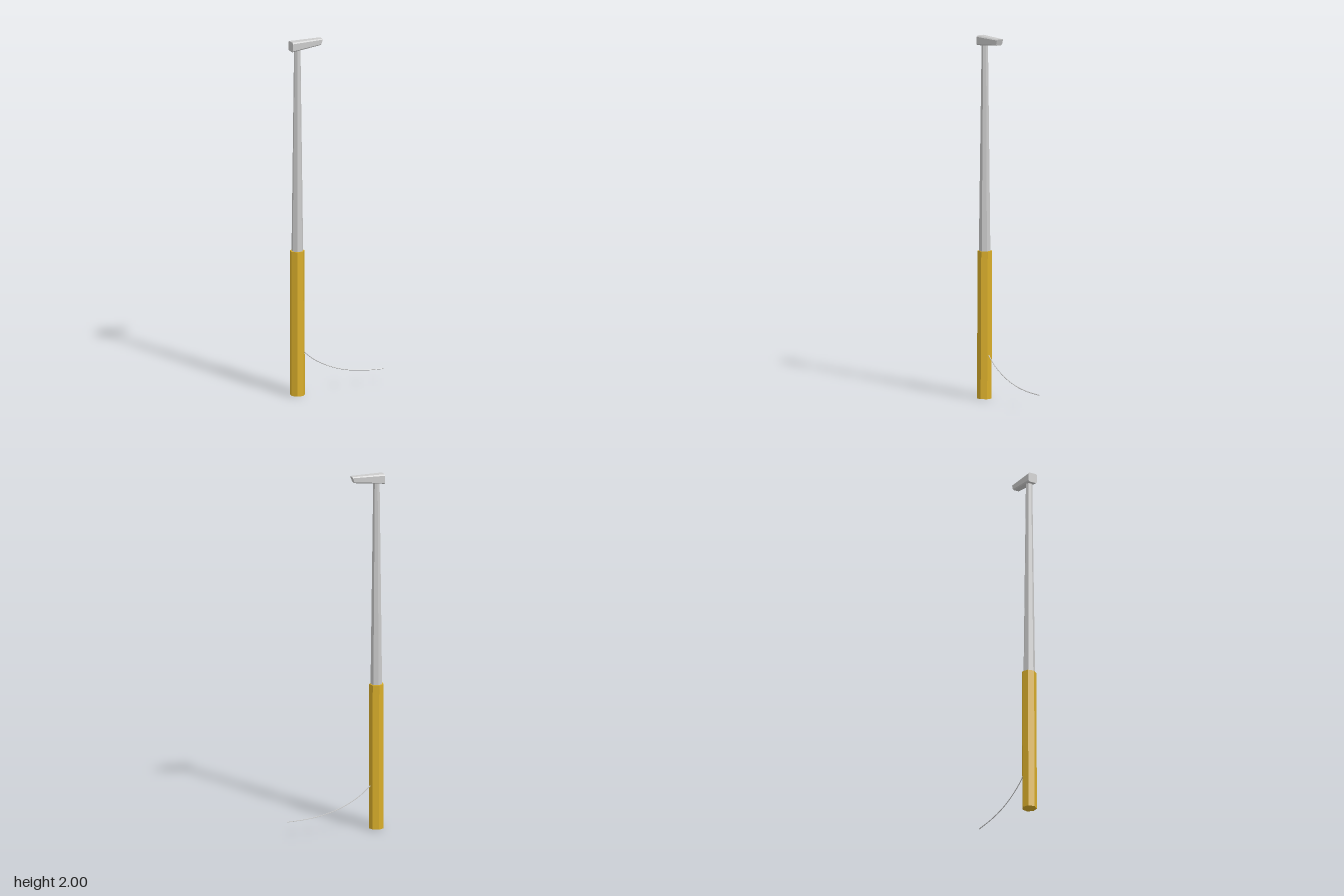
import * as THREE from 'three';

const metal = new THREE.MeshStandardMaterial({ color: 0xcccccc, flatShading: true, side: THREE.DoubleSide });
const gold = new THREE.MeshStandardMaterial({ color: 0xd9ae2a, flatShading: true });
const AXIS_X = -0.242;

function add(group, name, geometry, material) {
  const mesh = new THREE.Mesh(geometry, material);
  mesh.name = name;
  group.add(mesh);
  return mesh;
}

// Seven-sided tapered rod with a flat side to the front, leaning slightly in z
function rod(rTop, rBottom, y0, y1, zBottom, zTop) {
  const g = new THREE.CylinderGeometry(rTop, rBottom, y1 - y0, 7, 1, false, Math.PI);
  g.translate(AXIS_X, (y0 + y1) / 2, 0);
  const p = g.attributes.position;
  for (let i = 0; i < p.count; i++) {
    const t = (p.getY(i) - y0) / (y1 - y0);
    p.setZ(i, p.getZ(i) + zBottom + (zTop - zBottom) * t);
  }
  g.computeVertexNormals();
  return g;
}

// Chamfered eight-sided section of the head, in the y-z plane
function headSection(x0, x1, yLow, yHigh, half) {
  const c = half * 0.25;
  const loop = [
    [yHigh, half - c], [yHigh - c, half], [yLow + c, half], [yLow, half - c],
    [yLow, c - half], [yLow + c, -half], [yHigh - c, -half], [yHigh, c - half],
  ];
  // the section may slant from x0 at the bottom to x1 at the top
  return loop.map(([y, z]) => [x0 + (x1 - x0) * (y - yLow) / (yHigh - yLow), y, z]);
}

function loft(a, b) {
  const n = a.length, index = [];
  for (let i = 0; i < n; i++) {
    const j = (i + 1) % n;
    index.push(i, n + i, j, j, n + i, n + j);
  }
  for (let i = 1; i < n - 1; i++) index.push(0, i, i + 1, n, n + i + 1, n + i);
  // outward winding
  for (let i = 0; i < index.length; i += 3) [index[i + 1], index[i + 2]] = [index[i + 2], index[i + 1]];
  const g = new THREE.BufferGeometry();
  g.setAttribute('position', new THREE.Float32BufferAttribute([...a, ...b].flat(), 3));
  g.setIndex(index);
  const flat = g.toNonIndexed();
  flat.computeVertexNormals();
  return flat;
}

export function createModel() {
  const model = new THREE.Group();
  model.name = 'hookedPole';

  // Handle and tapering shaft
  add(model, 'grip', rod(0.041, 0.041, 0, 0.815, 0.003, -0.001), gold);
  add(model, 'shaft', rod(0.018, 0.033, 0.78, 1.965, 0.001, 0), metal);

  // Wedge-shaped head pointing to the side
  const back = headSection(-0.282, -0.282, 1.946, 2, 0.028);
  const tip = headSection(-0.107, -0.095, 1.965, 2, 0.02);
  add(model, 'head', loft(back, tip), metal);

  // Thin drooping wrist cord
  const path = new THREE.CatmullRomCurve3([
    [-0.23, 0.265], [-0.2, 0.237], [-0.15, 0.195], [-0.1, 0.164], [-0.02, 0.128],
    [0.07, 0.103], [0.17, 0.089], [0.282, 0.084],
  ].map(([x, y]) => new THREE.Vector3(x, y, 0)));
  add(model, 'cord', new THREE.TubeGeometry(path, 24, 0.0027, 5), metal);

  return model;
}
